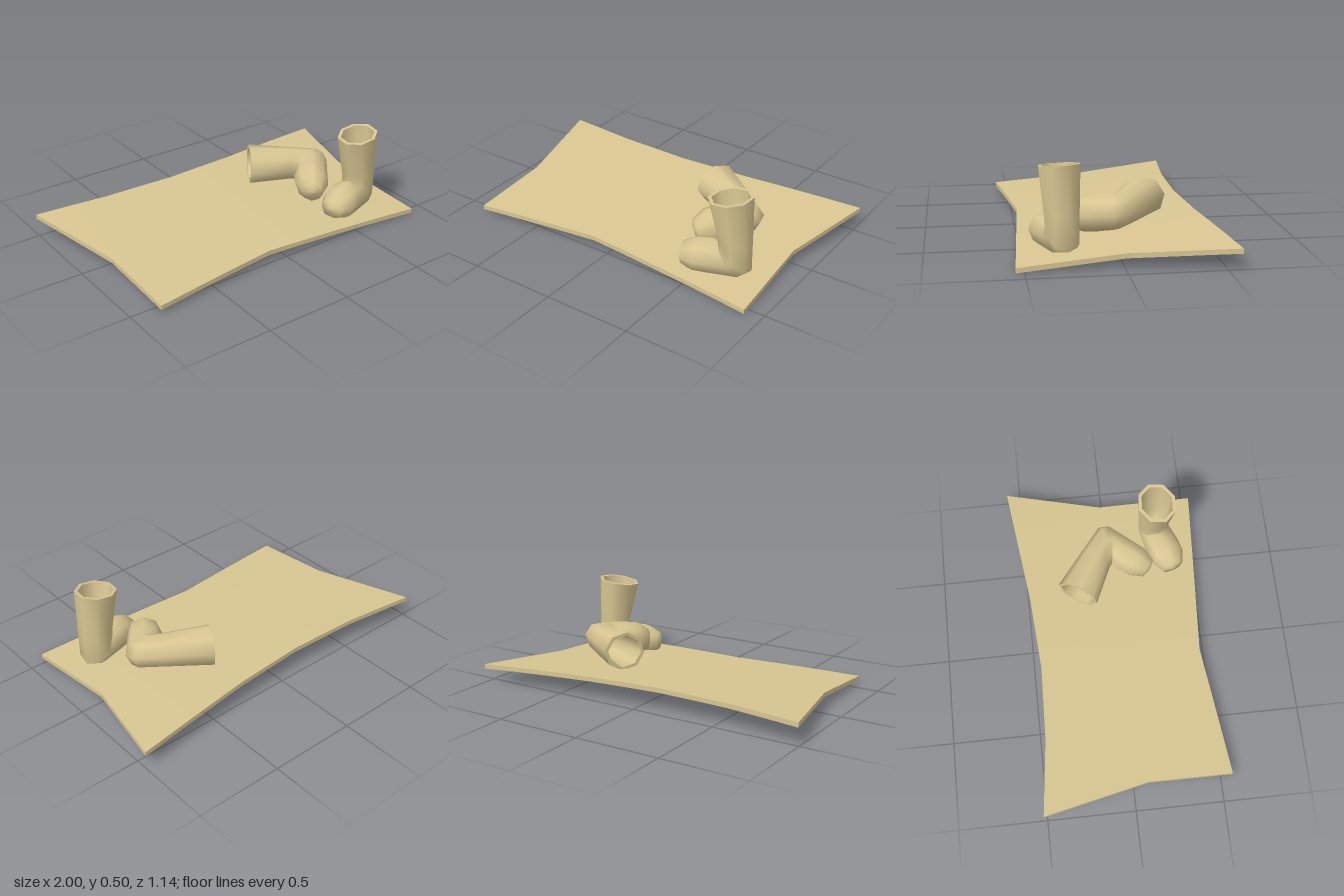
import * as THREE from 'three';

const material = new THREE.MeshStandardMaterial({ color: 0xd8c692 });

// Piecewise linear lookup in [[t, value], ...]
function along(points, t) {
  for (let i = 1; i < points.length; i++) {
    const [t0, a] = points[i - 1], [t1, b] = points[i];
    if (t <= t1 + 1e-6) return a + (b - a) * (t - t0) / (t1 - t0);
  }
  return points[points.length - 1][1];
}

// Thin stretched hide-like mat: a box grid bent to its four edges and a gentle slope
function createMat() {
  const thickness = 0.0265;
  const back = [[0, -0.515], [3 / 14, -0.468], [6 / 14, -0.455], [9 / 14, -0.485], [1, -0.573]];
  const front = [[0, 0.567], [6 / 14, 0.478], [1, 0.545]];
  const left = [[0, -1], [5 / 9, -0.86], [1, -0.855]];
  const right = [[0, 1], [0.5, 0.878], [1, 0.905]];
  const geometry = new THREE.BoxGeometry(1, thickness, 1, 14, 1, 18);
  const p = geometry.attributes.position;
  for (let i = 0; i < p.count; i++) {
    const u = p.getX(i) + 0.5, v = p.getZ(i) + 0.5;
    const x = THREE.MathUtils.lerp(along(left, v), along(right, v), u);
    const z = THREE.MathUtils.lerp(along(back, u), along(front, u), v);
    const top = 0.0785 - 0.0125 * x - 0.078 * z + 0.02 * (1 - x * x);
    p.setXYZ(i, x, top - thickness / 2 + p.getY(i), z);
  }
  geometry.computeVertexNormals();
  const mat = new THREE.Mesh(geometry, material);
  mat.name = 'mat';
  return mat;
}

// Each ring: centre (forward, height), half-axis (forward, height), half width
const SIDES = 8;
const rim = [0.03, 0.378, 0.123, -0.018, 0.113];
const rimInner = [0.03, 0.378, 0.103, -0.015, 0.094];
const sections = {
  lining: [[0, 0.05, 0, 0, 0], [0, 0.1, 0.078, 0, 0.078], rimInner],
  rim: [rimInner, rim],
  outside: [
    rim,
    [0, 0.13, 0.095, 0, 0.098],
    [-0.002, 0.025, 0.094, 0.07, 0.093],   // heel bend, upper
    [0.02, 0.003, 0.07, 0.093, 0.093],     // heel bend, lower
    [0.13, 0.008, 0, 0.1, 0.103],
    [0.21, 0.004, 0, 0.097, 0.102],
    [0.285, 0, 0, 0.06, 0.065],
    [0.298, 0, 0, 0, 0],
  ],
};

// Skin a list of rings
function loft(rings) {
  const positions = [], index = [];
  rings.forEach(([f, h, df, dh, w], i) => {
    for (let k = 0; k < SIDES; k++) {
      const a = k / SIDES * Math.PI * 2, c = Math.cos(a);
      positions.push(f + c * df, h + c * dh, Math.sin(a) * w);
      if (i === rings.length - 1) continue;
      const n = (k + 1) % SIDES, r = i * SIDES, s = r + SIDES;
      index.push(r + k, r + n, s + k, r + n, s + n, s + k);
    }
  });
  const geometry = new THREE.BufferGeometry();
  geometry.setAttribute('position', new THREE.Float32BufferAttribute(positions, 3));
  geometry.setIndex(index);
  geometry.computeVertexNormals();
  return geometry;
}

// Hollow boot with the toe along "forward" and the shaft along "up"
function createBoot(name, position, forward, up) {
  const boot = new THREE.Group();
  boot.name = name;
  for (const [part, rings] of Object.entries(sections)) {
    const mesh = new THREE.Mesh(loft(rings), material);
    mesh.name = name + part[0].toUpperCase() + part.slice(1);
    boot.add(mesh);
  }
  const f = new THREE.Vector3(...forward).normalize();
  const side = f.clone().cross(new THREE.Vector3(...up)).normalize();
  const h = side.clone().cross(f);
  boot.quaternion.setFromRotationMatrix(new THREE.Matrix4().makeBasis(f, h, side));
  boot.position.set(...position);
  return boot;
}

export function createModel() {
  const model = new THREE.Group();
  model.name = 'bootsOnMat';
  model.add(
    createMat(),
    createBoot('standingBoot', [0.69, 0.11, 0.295], [-0.95, 0, 0.3], [0, 1, 0]),
    createBoot('fallenBoot', [0.578, 0.203, 0.008], [-0.62, -0.15, 0.78], [-0.81, 0.03, -0.585]),
  );
  return model;
}
